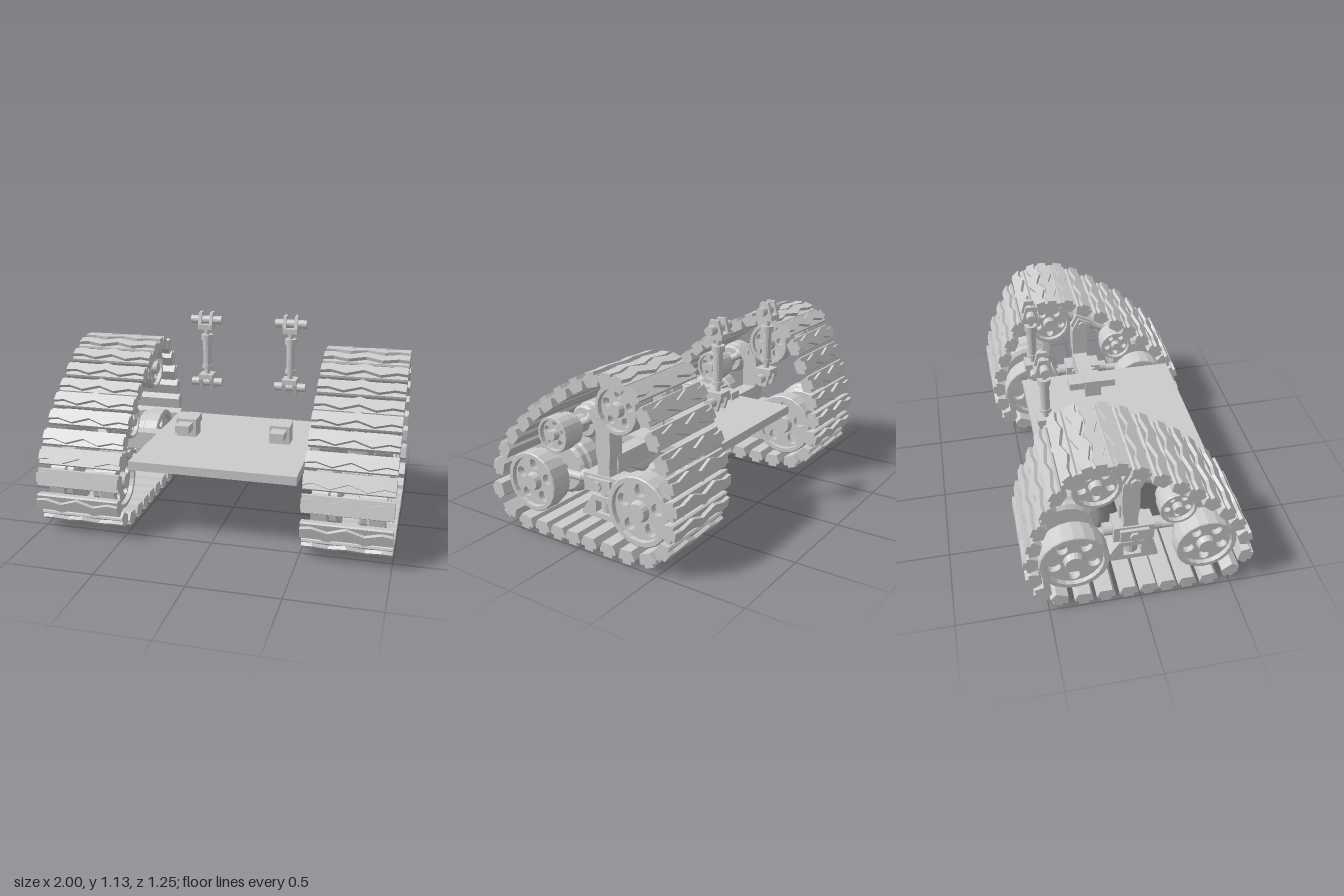
import * as THREE from 'three';

const mat = new THREE.MeshStandardMaterial({ color: 0xcccccc, flatShading: true });

function add(parent, name, geo, x = 0, y = 0, z = 0) {
  const m = new THREE.Mesh(geo, mat);
  m.name = name;
  m.position.set(x, y, z);
  parent.add(m);
  return m;
}
function group(parent, name, x = 0, y = 0, z = 0) {
  const g = new THREE.Group();
  g.name = name;
  g.position.set(x, y, z);
  parent.add(g);
  return g;
}
const box = (w, h, d) => new THREE.BoxGeometry(w, h, d);
const cyl = (r, h, n = 16) => new THREE.CylinderGeometry(r, r, h, n);
const xCyl = (r, h, n) => cyl(r, h, n).rotateZ(Math.PI / 2);
const zCyl = (r, h, n) => cyl(r, h, n).rotateX(Math.PI / 2);
const toShape = (pts) => new THREE.Shape(pts.map((p) => new THREE.Vector2(...p)));
const extrude = (shape, depth) =>
  new THREE.ExtrudeGeometry(shape, { depth, bevelEnabled: false, curveSegments: 8 });
// Outline given as (z, y), thickened along x about x = 0
const sidePlate = (shape, w) => extrude(shape, w).rotateY(-Math.PI / 2).scale(1, 1, 1).translate(w / 2, 0, 0);

// Track loop: pad centres as (z, y)
const LOOP = [
  [.38, .05], [.26, .05], [.15, .05], [.045, .05], [-.065, .05], [-.19, .05], [-.31, .05],
  [-.44, .07], [-.53, .14], [-.57, .25], [-.58, .37], [-.56, .48], [-.53, .59], [-.48, .70],
  [-.43, .81], [-.36, .905], [-.275, .945], [-.215, .95], [-.12, .94], [-.02, .895],
  [.085, .83], [.185, .76], [.27, .70], [.355, .62], [.445, .53], [.51, .44], [.56, .33],
  [.575, .19], [.5, .09],
];

// Pad: tapered body (y points outward) with a zigzag tread lug
const W = 0.487;
const padBody = sidePlate(toShape([
  [-.034, -.035], [.034, -.035], [.052, .008], [.048, .02], [-.048, .02], [-.052, .008],
]), W);
const zig = [[-.5, 0], [-.38, .008], [-.2, -.016], [0, .018], [.2, -.016], [.38, .008], [.5, 0]];
const padLug = extrude(toShape([
  ...zig.map(([u, v]) => [u * W, v - .027]),
  ...zig.map(([u, v]) => [u * W, v + .027]).reverse(),
]), .022).rotateX(-Math.PI / 2).translate(0, .018, 0);

function buildTrack(parent) {
  const track = group(parent, 'track');
  LOOP.forEach(([z, y], i) => {
    const a = LOOP.at(i - 1), b = LOOP[(i + 1) % LOOP.length];
    const pad = group(track, 'trackPad', 0, y, z);
    pad.rotation.x = Math.atan2(-(b[1] - a[1]), b[0] - a[0]);
    add(pad, 'padBody', padBody);
    add(pad, 'padLug', padLug);
  });
}

// Wheel along +y: grooved drum, five-hole face and hub
function buildWheel(parent, R, dir) {
  const wheel = group(parent, 'wheel');
  wheel.rotation.z = -dir * Math.PI / 2;
  const profile = [
    [0, .05], [.8, .05], [.92, .065], [.92, .1], [1, .112], [1, .195], [.97, .2],
    [.84, .2], [.8, .12], [0, .11],
  ].map(([r, y]) => new THREE.Vector2(r * R, y));
  add(wheel, 'wheelRim', new THREE.LatheGeometry(profile, 20));
  const face = new THREE.Shape().absarc(0, 0, .83 * R, 0, Math.PI * 2);
  for (let i = 0; i < 5; i++) {
    const a = Math.PI / 2 + i * Math.PI * 2 / 5 + .3;
    face.holes.push(new THREE.Path().absellipse(
      Math.cos(a) * .58 * R, Math.sin(a) * .58 * R, .19 * R, .17 * R, 0, Math.PI * 2, true, a));
  }
  add(wheel, 'wheelFace', extrude(face, .035).rotateX(-Math.PI / 2).translate(0, .14, 0));
  add(wheel, 'wheelHub', new THREE.CylinderGeometry(.26 * R, .34 * R, .06, 16), 0, .18, 0);
}

// Two wheel pairs joined by a beam that pivots in a central block
function buildBogie(parent, name, ends, pivot, blockLen, blockH) {
  const bogie = group(parent, name);
  for (const [z, y, R] of ends) {
    const axle = group(bogie, 'axle', 0, y, z);
    add(axle, 'axleShaft', xCyl(.035, .24));
    add(axle, 'axleBoss', xCyl(.05, .08));
    buildWheel(axle, R, 1);
    buildWheel(axle, R, -1);
  }
  const [[z0, y0], [z1, y1]] = ends;
  const len = Math.hypot(z1 - z0, y1 - y0);
  const beam = group(bogie, 'beam', 0, (y0 + y1) / 2, (z0 + z1) / 2);
  beam.rotation.x = Math.atan2(y1 - y0, z0 - z1);
  add(beam, 'beamRod', zCyl(.024, len));
  const block = group(bogie, 'pivotBlock', 0, pivot[1], pivot[0]);
  block.rotation.x = beam.rotation.x;
  add(block, 'beamSleeve', zCyl(.036, blockLen + .1));
  add(block, 'blockBody', box(.12, blockH, blockLen));
  add(block, 'blockCheeks', box(.16, blockH * .75, blockLen * .7));
  add(block, 'pivotBolt', xCyl(.028, .19, 6));
}

function buildSide(root, s) {
  const side = group(root, s > 0 ? 'leftTrackUnit' : 'rightTrackUnit', s * .755);
  buildTrack(side);
  buildBogie(side, 'lowerBogie', [[.365, .27, .168], [-.35, .286, .19]], [0, .295], .225, .1);
  buildBogie(side, 'upperBogie', [[.195, .575, .1], [-.23, .795, .13]], [-.005, .687], .12, .085);

  // Post with waisted sides between the bogies
  const post = new THREE.Shape();
  post.moveTo(.035, .31);
  post.quadraticCurveTo(.01, .38, .03, .46);
  post.lineTo(.03, .62);
  post.lineTo(.02, .68);
  post.lineTo(-.05, .68);
  post.lineTo(-.065, .62);
  post.lineTo(-.065, .46);
  post.quadraticCurveTo(-.045, .38, -.07, .31);
  add(side, 'post', sidePlate(post, .1));

  // Slide shoe hung below the lower bogie
  add(side, 'hangerCap', cyl(.04, .025), 0, .23, -.005);
  add(side, 'hangerRod', cyl(.014, .1), 0, .19, -.005);
  add(side, 'hangerWeight', cyl(.04, .06), 0, .155, -.005);
  const shoe = toShape([[.14, .09], [.14, .11], [.065, .22], [-.08, .22], [-.15, .11], [-.15, .09]]);
  shoe.holes.push(new THREE.Path([[.045, .12], [-.055, .12], [-.055, .19], [.045, .19]]
    .map((p) => new THREE.Vector2(...p))));
  add(side, 'slideShoe', sidePlate(shoe, .1));

  // Arm carrying the track unit from under the deck
  const arm = toShape([[.23, .402], [.34, .345], [.74, .345], [.74, .45], [.47, .45], [.47, .402]]
    .map(([x, y]) => [s * x, y]));
  add(root, 'supportArm', extrude(arm, .09), 0, 0, -.065);

  // Deck block with a bar through it
  add(root, 'deckBlock', box(.12, .11, .1), s * .285, .505, -.02);
  add(root, 'deckBar', box(.085, .045, .285), s * .285, .522, -.022);
}

// Rear link: two clevises joined by a stepped rod
function buildLink(root, s) {
  const link = group(root, 'rearLink', s * .267, 0, -.38);
  const cheek = sidePlate(toShape([[-.05, -.055], [.05, -.055], [.045, -.02], [.025, .05], [-.025, .05], [-.045, -.02]]), .02);
  for (const [y, flip] of [[1.085, 1], [.685, -1]]) {
    const clevis = group(link, 'clevis', 0, y, 0);
    clevis.rotation.z = flip > 0 ? 0 : Math.PI;
    add(clevis, 'clevisPlate', cheek, -.035);
    add(clevis, 'clevisPlate', cheek, .035);
    add(clevis, 'clevisBase', box(.088, .03, .1), 0, -.04, 0);
    add(clevis, 'clevisPin', xCyl(.026, .195));
  }
  add(link, 'rod', cyl(.016, .34), 0, .885, 0);
  add(link, 'cylinderBody', cyl(.026, .18), 0, .875, 0);
  add(link, 'upperCollar', cyl(.036, .035), 0, .975, 0);
  add(link, 'lowerCollar', cyl(.032, .02), 0, .785, 0);
}

export function createModel() {
  const root = new THREE.Group();
  root.name = 'trackedChassis';
  add(root, 'deck', box(.95, .05, .945), 0, .427, .04);
  for (const s of [-1, 1]) {
    buildSide(root, s);
    buildLink(root, s);
  }
  return root;
}
